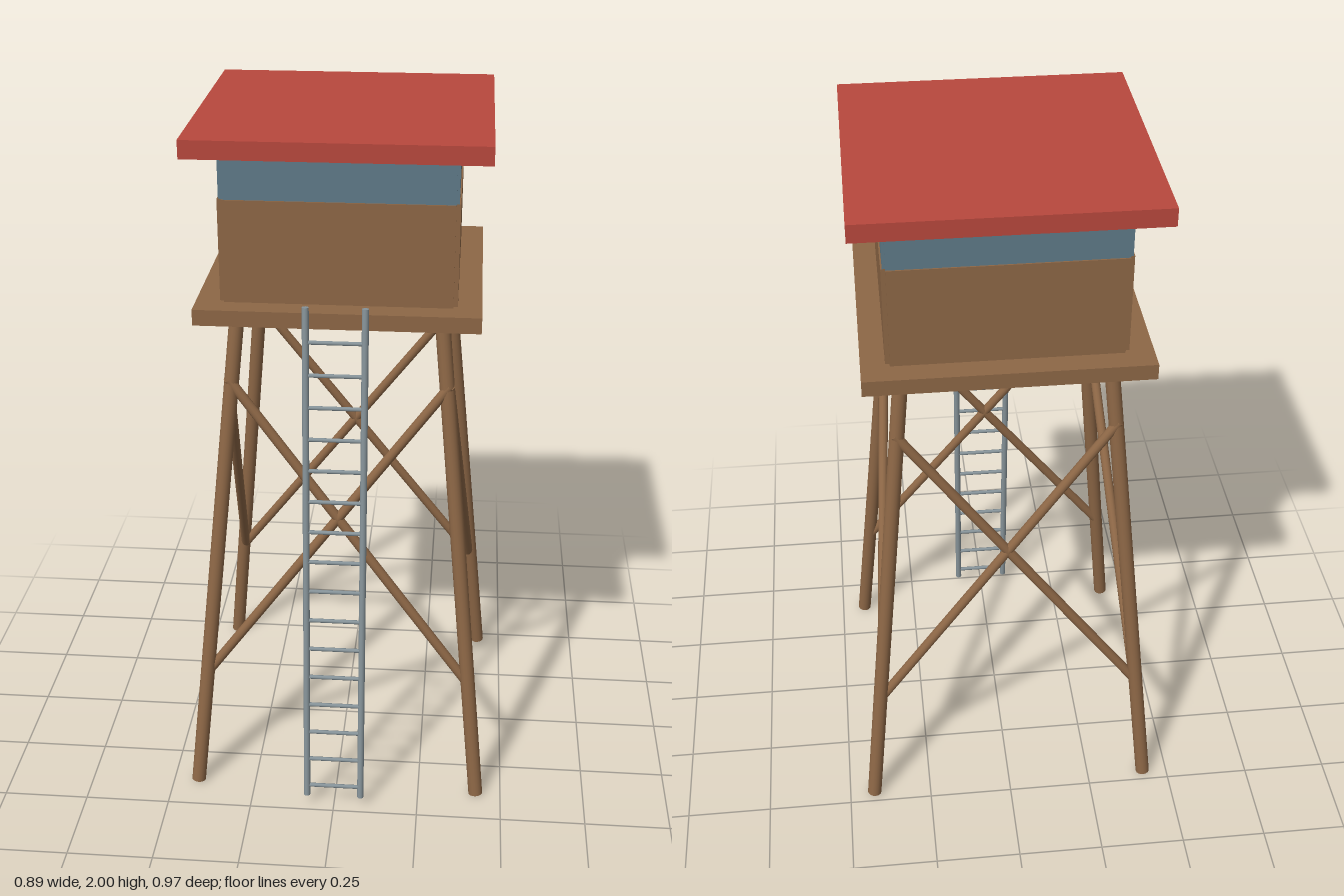
import * as THREE from 'three';

export function createModel() {
  const model = new THREE.Group();
  const material = (name, color) => {
    const m = new THREE.MeshStandardMaterial({ color });
    m.name = name;
    return m;
  };
  const wood = material('wood brown', 0x8d6746);
  const red = material('roof red', 0xb8483d);
  const glass = material('window blue', 0x5f7a88);
  const steel = material('ladder grey', 0x87949a);

  // The tower sits slightly behind the origin, the ladder in front of it
  const tower = new THREE.Group();
  tower.name = 'tower';
  tower.position.z = -0.04;
  const ladder = new THREE.Group();
  ladder.name = 'ladder';
  model.add(tower, ladder);

  function box(parent, name, mat, w, h, d, x, y, z) {
    const mesh = new THREE.Mesh(new THREE.BoxGeometry(w, h, d), mat);
    mesh.name = name;
    mesh.position.set(x, y, z);
    parent.add(mesh);
    return mesh;
  }

  // Round pole between two points
  function pole(parent, name, mat, a, b, radius, sides = 12) {
    const from = new THREE.Vector3(...a);
    const to = new THREE.Vector3(...b);
    const dir = to.clone().sub(from);
    const mesh = new THREE.Mesh(new THREE.CylinderGeometry(radius, radius, dir.length(), sides), mat);
    mesh.name = name;
    mesh.position.copy(from).add(to).multiplyScalar(0.5);
    mesh.quaternion.setFromUnitVectors(new THREE.Vector3(0, 1, 0), dir.normalize());
    parent.add(mesh);
  }

  // Splayed legs
  for (const sx of [-1, 1]) {
    for (const sz of [-1, 1]) {
      pole(tower, 'leg', wood, [sx * 0.425, 0.003, sz * 0.425], [sx * 0.28, 1.5, sz * 0.28], 0.021, 16);
    }
  }

  // Crossed braces front and back, a single diagonal on each side
  const hi = 0.307, lo = 0.383, yHi = 1.3, yLo = 0.38;
  for (const s of [-1, 1]) {
    for (const sz of [-1, 1]) {
      pole(tower, 'crossBrace', wood, [s * hi, yHi, sz * hi], [-s * lo, yLo, sz * lo], 0.014);
    }
    pole(tower, 'sideBrace', wood, [s * hi, yHi, hi], [s * lo, yLo, -lo], 0.014);
  }

  // Platform and roof
  box(tower, 'platform', wood, 0.775, 0.045, 0.775, 0, 1.5125, 0);
  box(tower, 'roof', red, 0.805, 0.05, 0.805, 0, 1.975, 0);

  // Four cabin walls with a window band above each
  for (let i = 0; i < 4; i++) {
    const side = new THREE.Group();
    side.name = 'cabinSide';
    side.rotation.y = i * Math.PI / 2;
    box(side, 'wall', wood, 0.62, 0.285, 0.02, 0, 1.6775, 0.312);
    box(side, 'window', glass, 0.62, 0.13, 0.012, 0, 1.885, 0.312);
    tower.add(side);
  }

  // Leaning ladder: two rails and sixteen rungs
  const foot = { y: 0.036, z: 0.474 }, head = { y: 1.558, z: 0.363 };
  for (const x of [-0.08, 0.08]) {
    pole(ladder, 'rail', steel, [x, foot.y, foot.z], [x, head.y, head.z], 0.0095);
  }
  for (let i = 0; i < 16; i++) {
    const y = 0.07 + i * 0.0927;
    const z = foot.z + (head.z - foot.z) * (y - foot.y) / (head.y - foot.y);
    pole(ladder, 'rung', steel, [-0.08, y, z], [0.08, y, z], 0.006, 8);
  }
  return model;
}
